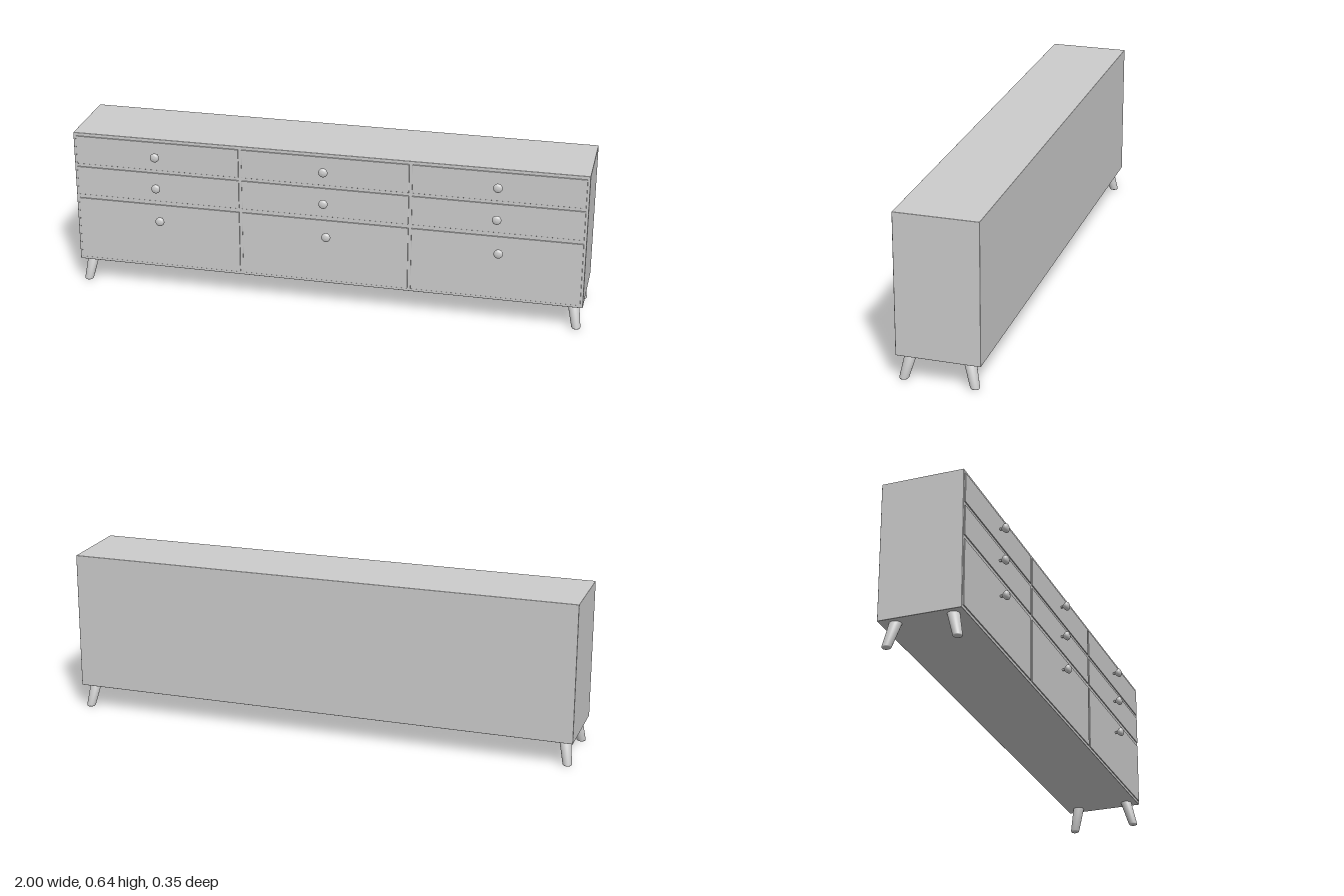
import * as THREE from 'three';
import { RoundedBoxGeometry } from 'three/addons/geometries/RoundedBoxGeometry.js';

const material = new THREE.MeshStandardMaterial({ color: 0xcccccc });

function add(parent, geometry, name, x = 0, y = 0, z = 0) {
  const mesh = new THREE.Mesh(geometry, material);
  mesh.name = name;
  mesh.position.set(x, y, z);
  parent.add(mesh);
  return mesh;
}

const lathe = (points, segments) =>
  new THREE.LatheGeometry(points.map(([r, y]) => new THREE.Vector2(r, y)), segments);

// Knob turned about y: slim stem flaring into a domed mushroom head
function knobGeometry() {
  const head = new THREE.SplineCurve([
    [0.005, 0.008], [0.008, 0.0105], [0.0135, 0.0155], [0.0175, 0.0225],
    [0.0165, 0.029], [0.011, 0.0335], [0, 0.0355],
  ].map(([r, y]) => new THREE.Vector2(r, y))).getPoints(20);
  head[head.length - 1].x = 0;
  const points = [new THREE.Vector2(0.005, -0.002), ...head];
  return new THREE.LatheGeometry(points, 28).rotateX(Math.PI / 2);
}

// Tapered leg, sheared so it splays outward while both ends stay level
function legGeometry(sx, sz) {
  const h = 0.1;
  const geometry = lathe([
    [0, 0], [0.012, 0], [0.0155, 0.0015], [0.0175, 0.005], [0.0225, h], [0, h],
  ], 28);
  const shear = new THREE.Matrix4().set(
    1, -sx * 0.18, 0, 0,
    0, 1, 0, 0,
    0, -sz * 0.25, 1, 0,
    0, 0, 0, 1);
  return geometry.applyMatrix4(shear);
}

export function createModel() {
  const group = new THREE.Group();
  group.name = 'sideboard';

  // Cabinet body
  const bottom = 0.097, top = 0.638, back = -0.176, front = 0.137;
  add(group, new RoundedBoxGeometry(2, top - bottom, front - back, 2, 0.002),
    'cabinet', 0, (top + bottom) / 2, (front + back) / 2);

  // Three columns of drawers, two shallow over one deep
  const rows = [
    { low: 0.51, high: 0.625, knobY: 0.572, knobX: 0 },
    { low: 0.38, high: 0.497, knobY: 0.442, knobX: 0 },
    { low: 0.109, high: 0.364, knobY: 0.304, knobX: 0.011 },
  ];
  const width = 0.652, depth = 0.012, face = 0.141;
  const knob = knobGeometry();
  for (const x of [-0.664, 0, 0.664]) {
    for (const { low, high, knobY, knobX } of rows) {
      const drawer = new THREE.Group();
      drawer.name = 'drawer';
      group.add(drawer);
      add(drawer, new RoundedBoxGeometry(width, high - low, depth, 2, 0.0015),
        'drawerFront', x, (low + high) / 2, face - depth / 2);
      add(drawer, knob, 'knob', x + knobX, knobY, face);
    }
  }

  // Splayed legs at the four corners
  for (const sx of [-1, 1]) {
    add(group, legGeometry(sx, 1), 'frontLeg', sx * 0.978, 0, 0.116);
    add(group, legGeometry(sx, -1), 'backLeg', sx * 0.978, 0, -0.148);
  }
  return group;
}
